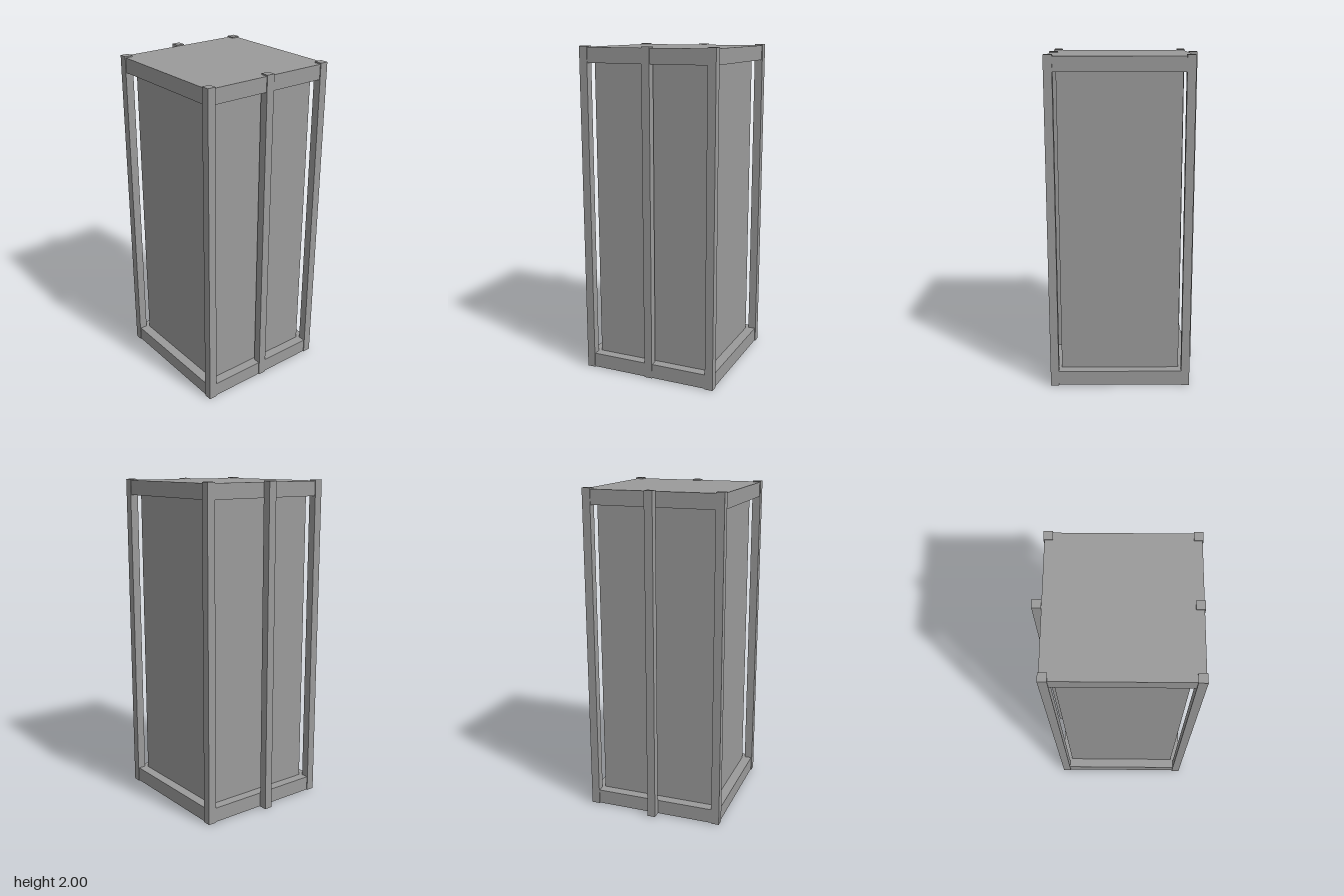
import * as THREE from 'three';

export function createModel() {
  const model = new THREE.Group();
  const material = new THREE.MeshStandardMaterial({ color: 0x9b9b9b, flatShading: true });
  const midZ = 0.0225; // the body sits slightly forward of the rear centre post

  // Box spanning y0..y1, centred on x and z
  function addBox(name, width, depth, x, z, y0, y1) {
    const mesh = new THREE.Mesh(new THREE.BoxGeometry(width, y1 - y0, depth), material);
    mesh.name = name;
    mesh.position.set(x, (y0 + y1) / 2, z);
    model.add(mesh);
  }

  // Inner body, base and roof
  addBox('innerBody', 0.72, 0.72, 0, midZ, 0, 1.95);
  addBox('baseSlab', 0.84, 0.84, 0, midZ, 0.005, 0.094);
  addBox('roofSlab', 0.84, 0.84, 0, midZ, 1.904, 1.993);

  // Corner posts
  for (const x of [-0.4, 0.4]) {
    for (const z of [-0.4, 0.4]) addBox('cornerPost', 0.05, 0.05, x, midZ + z, 0.003, 2);
  }

  // Centre posts, the rear one standing outside the slabs
  addBox('frontCentrePost', 0.05, 0.05, 0, midZ + 0.4, 0.003, 2);
  addBox('rearCentrePost', 0.05, 0.05, 0, midZ - 0.445, 0.003, 2);

  return model;
}
